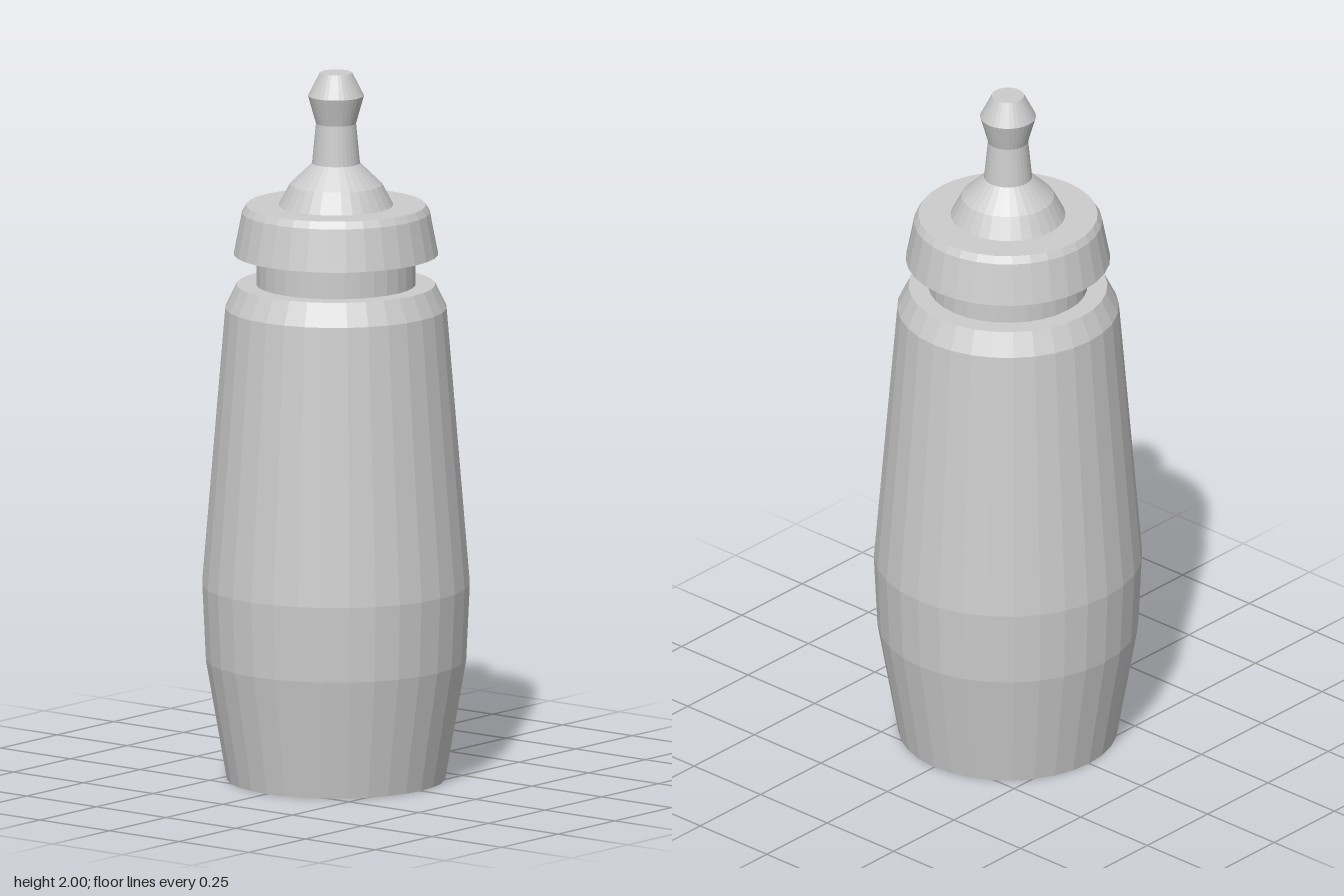
import * as THREE from 'three';

const SIDES = 32;

// Turned part with flat facets; profile is [radius, height] from bottom to top
function turned(name, profile, material) {
  const points = profile.map(([r, y]) => new THREE.Vector2(r, y));
  const geometry = new THREE.LatheGeometry(points, SIDES).toNonIndexed();
  geometry.computeVertexNormals();
  const mesh = new THREE.Mesh(geometry, material);
  mesh.name = name;
  return mesh;
}

export function createModel() {
  const group = new THREE.Group();
  group.name = 'bottle';
  const grey = new THREE.MeshStandardMaterial({ color: 0xcccccc });
  grey.name = 'light grey';

  // Base tapering in towards the foot
  group.add(turned('base', [[0, 0], [0.305, 0], [0.364, 0.34], [0.374, 0.553]], grey));
  // Long tapered body with a bevelled shoulder
  group.add(turned('body', [[0.374, 0.553], [0.309, 1.335], [0.277, 1.4], [0.222, 1.4]], grey));
  // Recessed neck under the cap
  group.add(turned('neck', [[0.222, 1.4], [0.222, 1.487]], grey));
  // Flared cap
  group.add(turned('cap', [[0.222, 1.487], [0.285, 1.487], [0.283, 1.497],
    [0.262, 1.605], [0.25, 1.625], [0.16, 1.625]], grey));
  // Domed seat for the nozzle
  group.add(turned('dome', [[0.16, 1.625], [0.129, 1.684], [0.067, 1.744]], grey));
  // Slim nozzle stem
  group.add(turned('nozzleStem', [[0.067, 1.744], [0.056, 1.857]], grey));
  // Flared nozzle tip
  group.add(turned('nozzleTip', [[0.056, 1.857], [0.078, 1.935], [0.045, 2], [0, 2]], grey));

  return group;
}
